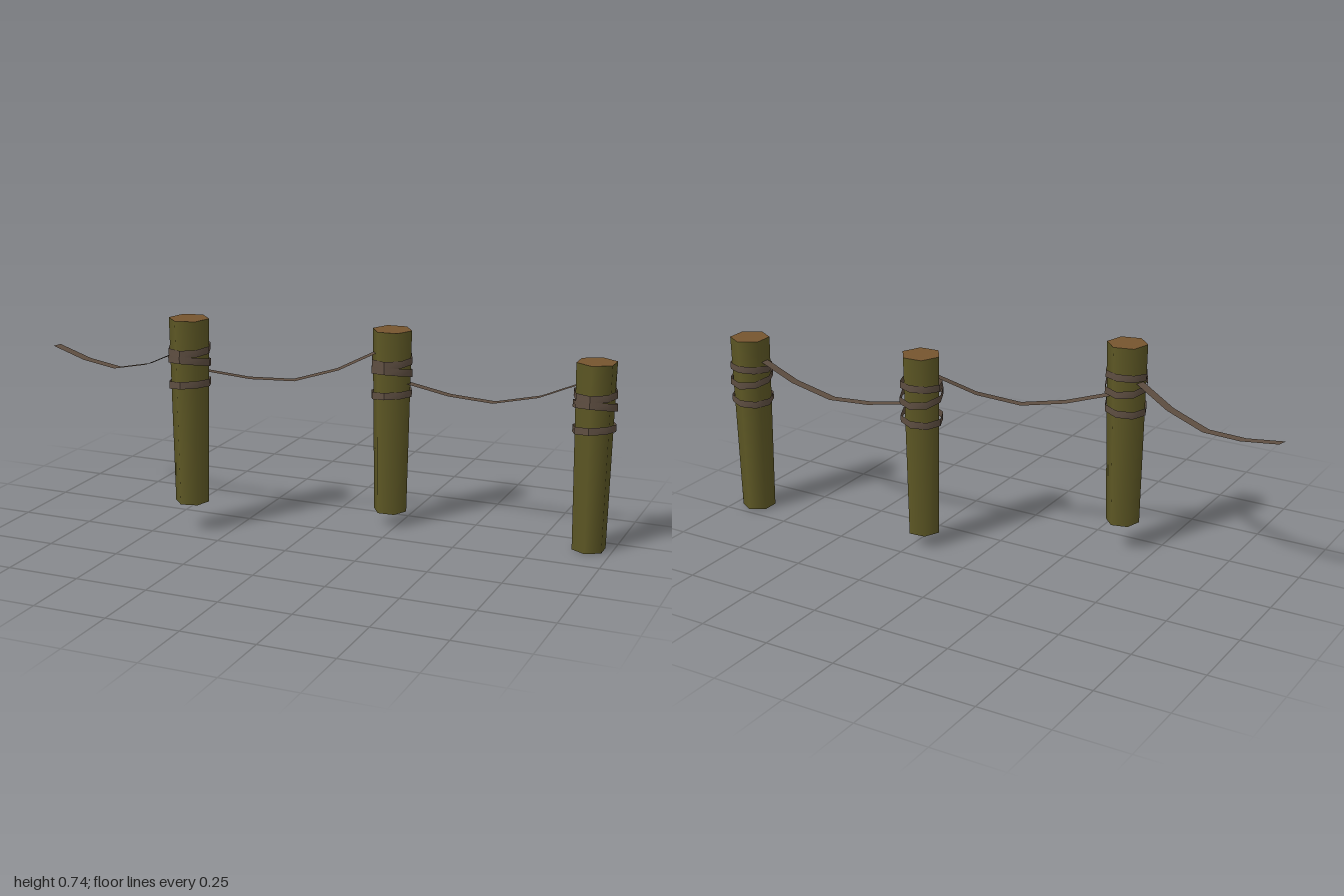
import * as THREE from 'three';

const bark = new THREE.MeshStandardMaterial({ name: 'mossy bark', color: 0x5e5825 });
const cutWood = new THREE.MeshStandardMaterial({ name: 'cut wood', color: 0x76552f });
const rope = new THREE.MeshStandardMaterial({ name: 'rope', color: 0x5f4f42, side: THREE.DoubleSide });

// Flat band around a post, sheared so that it sits at a slant
function makeBand(radius, y, slantX, slantZ) {
  const geo = new THREE.CylinderGeometry(radius, radius, 0.025, 8, 1, true);
  const p = geo.attributes.position;
  for (let i = 0; i < p.count; i++) {
    p.setY(i, p.getY(i) + y + slantX * p.getX(i) + slantZ * p.getZ(i));
  }
  geo.computeVertexNormals();
  const band = new THREE.Mesh(geo, rope);
  band.name = 'ropeBand';
  return band;
}

// Six-sided tapered post with three rope bands
function makePost({ x, y, z, turn }) {
  const group = new THREE.Group();
  group.name = 'post';
  const geo = new THREE.CylinderGeometry(0.069, 0.058, 0.64, 6);
  const trunk = new THREE.Mesh(geo, [bark, cutWood, bark]);
  trunk.name = 'trunk';
  trunk.position.y = 0.32;
  trunk.rotation.y = THREE.MathUtils.degToRad(turn);
  group.add(trunk);
  group.add(makeBand(0.073, 0.535, 0.03, -0.07));
  group.add(makeBand(0.075, 0.495, 0, 0.21));
  group.add(makeBand(0.073, 0.418, 0.1, 0.07));
  group.position.set(x, y, z);
  return group;
}

// Sagging flat ribbon, level across its width
function makeRope([x0, z0], [x1, z1], drop) {
  const heights = [0.56, 0.53, 0.52, 0.555, 0.622];
  const side = new THREE.Vector2(z1 - z0, x0 - x1).normalize().multiplyScalar(0.0175);
  const points = [], index = [];
  heights.forEach((h, i) => {
    const t = i / (heights.length - 1);
    const x = x0 + (x1 - x0) * t, z = z0 + (z1 - z0) * t;
    points.push(x + side.x, h - drop, z + side.y, x - side.x, h - drop, z - side.y);
    if (i > 0) {
      const a = 2 * i - 2;
      index.push(a, a + 1, a + 2, a + 1, a + 3, a + 2);
    }
  });
  const geo = new THREE.BufferGeometry();
  geo.setAttribute('position', new THREE.Float32BufferAttribute(points, 3));
  geo.setIndex(index);
  geo.computeVertexNormals();
  const mesh = new THREE.Mesh(geo, rope);
  mesh.name = 'hangingRope';
  return mesh;
}

export function createModel() {
  const model = new THREE.Group();
  model.name = 'ropeFence';

  const posts = [
    { x: -0.385, y: 0.1, z: 0.168, turn: -16 },
    { x: 0.22, y: 0.05, z: -0.148, turn: -26 },
    { x: 0.92, y: 0, z: -0.17, turn: 0 },
  ];
  posts.forEach((p) => model.add(makePost(p)));

  // Loose end on the left, then the spans between posts
  model.add(makeRope([-0.996, 0.02], [-0.425, 0.158], 0));
  model.add(makeRope([-0.34, 0.143], [0.19, -0.132], 0));
  model.add(makeRope([0.27, -0.153], [0.89, -0.169], 0.05));
  return model;
}
